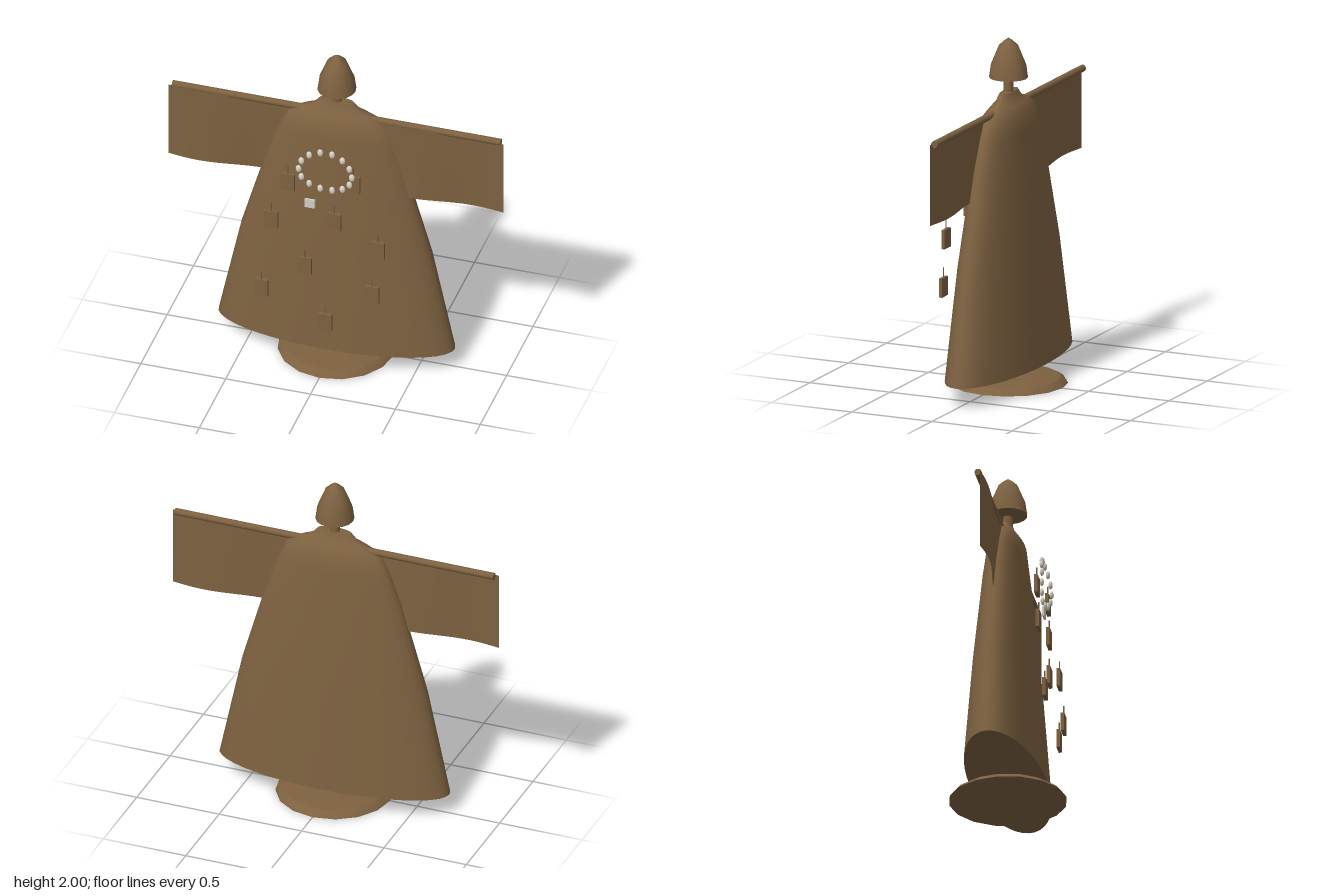
import * as THREE from 'three';
import { toCreasedNormals } from 'three/addons/utils/BufferGeometryUtils.js';

const mat = (name, color, side = THREE.FrontSide) => {
  const m = new THREE.MeshStandardMaterial({ color, side });
  m.name = name;
  return m;
};

// Closed turned shape from [radius, y] points, bottom to top
const turned = (pts, sides) =>
  new THREE.LatheGeometry(pts.map(([r, y]) => new THREE.Vector2(r, y)), sides);

export function createModel() {
  const brown = mat('brown cloth and wood', 0x7d6140, THREE.DoubleSide);
  const ivory = mat('ivory beads', 0xd8d4c6);
  const pale = mat('pale plate', 0xd6cec4);

  const model = new THREE.Group();
  model.name = 'robedFigure';
  const add = (name, geo, material, x = 0, y = 0, z = 0, parent = model) => {
    const mesh = new THREE.Mesh(geo, material);
    mesh.name = name;
    mesh.position.set(x, y, z);
    parent.add(mesh);
    return mesh;
  };

  // Stand: shallow foot and central pole
  add('standBase', toCreasedNormals(turned(
    [[0, 0], [0.335, 0], [0.325, 0.015], [0.295, 0.035], [0, 0.06]], 16), 0.5), brown);
  add('pole', new THREE.CylinderGeometry(0.028, 0.028, 1.71, 16), brown, 0, 0.905, 0);

  // Head: pointed dome floating above the pole
  add('head', toCreasedNormals(turned(
    [[0, 1.77], [0.11, 1.77], [0.1, 1.845], [0.055, 1.955], [0.025, 1.983], [0, 2]], 16), 0.8), brown);

  // Robe: oval rings of [half width, y, half depth]
  const rings = [
    [0, 0.12, 0], [0.695, 0.12, 0.22], [0.56, 0.75, 0.175], [0.4, 1.3, 0.127],
    [0.335, 1.47, 0.108], [0.28, 1.58, 0.097], [0.2, 1.622, 0.07],
    [0.135, 1.65, 0.048], [0.1, 1.69, 0.033], [0, 1.69, 0],
  ];
  const sides = 40;
  const robe = turned(rings, sides);
  const pos = robe.attributes.position;
  for (let i = 0; i < pos.count; i++) {
    const [w, , d] = rings[i % rings.length];
    pos.setZ(i, w ? pos.getZ(i) * d / w : 0);
  }
  add('robe', toCreasedNormals(robe, 0.8), brown);

  // Crossbar through the shoulders
  const bar = new THREE.CylinderGeometry(0.02, 0.02, 1.935, 12);
  bar.rotateZ(Math.PI / 2);
  add('crossbar', bar, brown, 0, 1.6, 0);

  // Sleeves: thin hanging cloth with one gentle wave, wider at the hem
  const width = 0.75, height = 0.47;
  const cloth = new THREE.PlaneGeometry(width, height, 16, 4);
  const cp = cloth.attributes.position;
  for (let i = 0; i < cp.count; i++) {
    const u = cp.getX(i) / width + 0.5, v = 0.5 - cp.getY(i) / height;
    cp.setZ(i, 0.017 + (0.01 + 0.009 * v) * Math.sin(u * Math.PI * 2));
  }
  cloth.computeVertexNormals();
  add('leftSleeve', cloth, brown, 0.613, 1.365, 0);
  add('rightSleeve', cloth, brown, -0.613, 1.365, 0);

  // Hanging tags, each with a short cord, following the slope of the robe
  const tagBox = new THREE.BoxGeometry(0.08, 0.11, 0.02);
  const cord = new THREE.CylinderGeometry(0.004, 0.004, 0.058, 6);
  const tags = [
    [-0.225, 1.218], [0.158, 1.275], [-0.315, 0.96], [0.055, 1.015], [0.315, 0.88],
    [-0.11, 0.7], [-0.36, 0.51], [0.29, 0.59], [0.02, 0.36],
  ];
  for (const [x, y] of tags) {
    const tag = new THREE.Group();
    tag.name = 'tag';
    tag.position.set(x, y, 0.325 - 0.098 * y);
    add('tagPlate', tagBox, brown, 0, 0, 0, tag);
    add('tagCord', cord, brown, 0, 0.083, 0, tag);
    model.add(tag);
  }

  // Necklace: oval ring of beads
  const bead = new THREE.SphereGeometry(1, 10, 8);
  bead.scale(0.017, 0.024, 0.012);
  for (let i = 0; i < 14; i++) {
    const a = i / 14 * Math.PI * 2;
    add('bead', bead, ivory, 0.157 * Math.cos(a), 1.333 + 0.125 * Math.sin(a),
      0.213 + 0.009 * Math.cos(2 * a));
  }

  // Small pale plate on the chest
  add('chestPlate', new THREE.BoxGeometry(0.06, 0.055, 0.012), pale, -0.09, 1.108, 0.222);

  return model;
}
